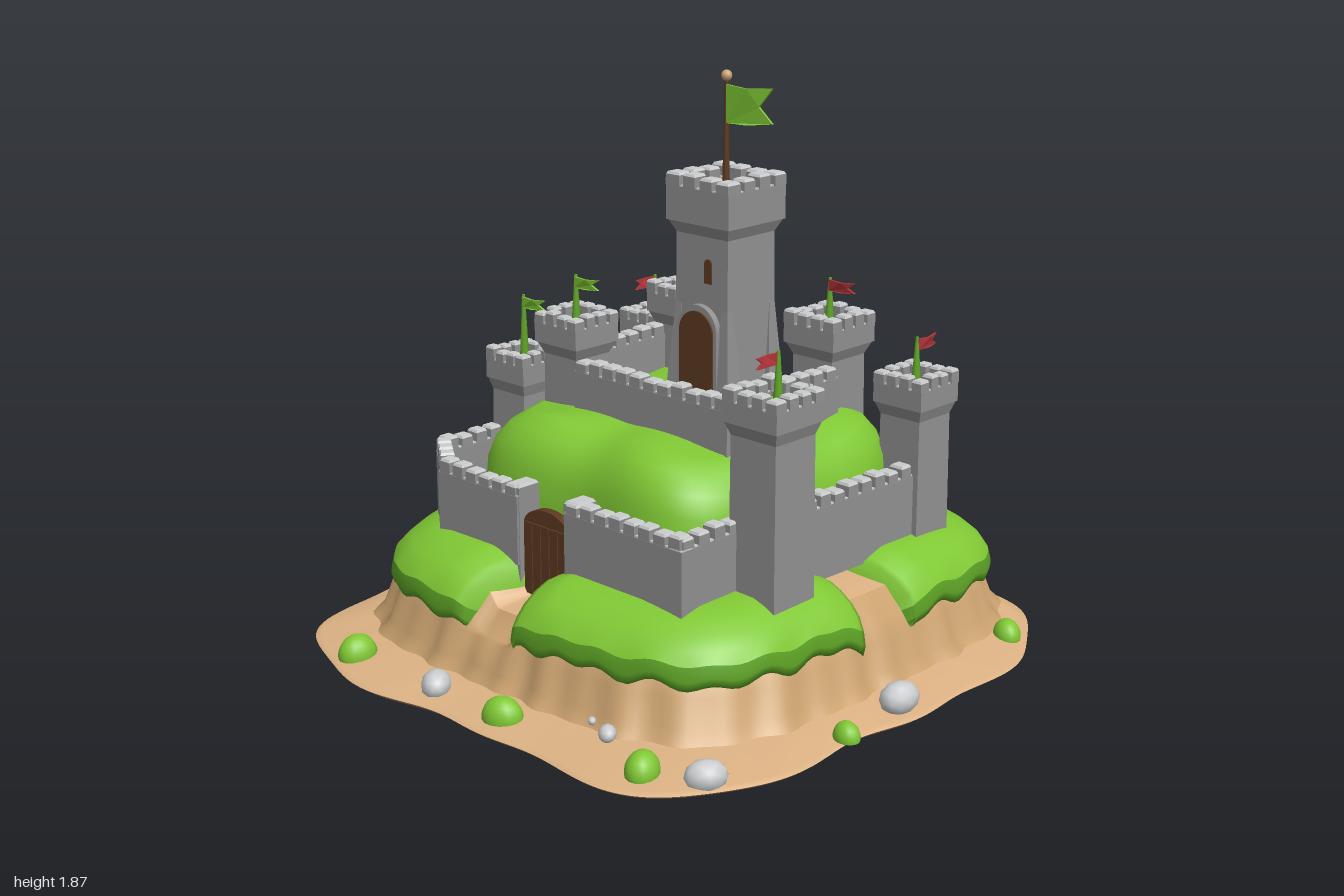
import * as THREE from 'three';
import { mergeGeometries } from 'three/addons/utils/BufferGeometryUtils.js';

const paint = (name, color) => Object.assign(new THREE.MeshStandardMaterial({ color }), { name });

export function createModel() {
  const root = new THREE.Group();
  const stone = paint('stone', 0x909090), paleStone = paint('pale stone', 0xcbcdce);
  const grass = paint('grass', 0x80c834), darkGrass = paint('dark grass', 0x5fa526);
  const sand = paint('sand', 0xdcb284), cliff = paint('cliff sand', 0xcca370), earth = paint('earth', 0xbb9162);
  const wood = paint('wood', 0x5c3a20), red = paint('red cloth', 0xb03438);

  let seed = 7;
  const rand = () => ((seed = (seed * 16807) % 2147483647) / 2147483647);
  const add = (name, geo, mat, parent = root) => {
    const m = new THREE.Mesh(geo, mat);
    m.name = name;
    parent.add(m);
    return m;
  };

  // ---------- terrain: closed loops of points joined into a skin ----------
  const N = 240;
  function loft(rings) {
    const pos = [], idx = [];
    rings.forEach((ring, i) => {
      for (let j = 0; j < N; j++) {
        pos.push(...ring((j / N) * Math.PI * 2));
        if (!i) continue;
        const k = (j + 1) % N, a = (i - 1) * N + j, b = (i - 1) * N + k, c = i * N + j, d = i * N + k;
        idx.push(a, c, b, b, c, d);
      }
    });
    const g = new THREE.BufferGeometry();
    g.setAttribute('position', new THREE.Float32BufferAttribute(pos, 3));
    g.setIndex(idx);
    g.computeVertexNormals();
    return g;
  }
  // rounded square loop, s = size factor, y = height
  const squircle = (t, cx, cz, hx, hz, s, y) => {
    const c = Math.cos(t), n = Math.sin(t), r = s / Math.pow(c ** 4 + n ** 4, 0.25);
    return [cx + hx * r * c, y, cz + hz * r * n];
  };
  // 1 at the given angle, fading to 0 between inner and outer distance
  const dip = (t, at, inner, outer) =>
    1 - THREE.MathUtils.smoothstep(Math.abs(Math.atan2(Math.sin(t - at), Math.cos(t - at))), inner, outer);
  const front = Math.PI / 2 + 0.095, back = -Math.PI / 2 - 0.08;
  const gap = (t, soft) => Math.max(...[front, -0.037, Math.PI + 0.05].map(at => dip(t, at, 0.075, soft)));

  const rim = (s, y) => t =>
    squircle(t, 0, 0, 1, 1, s * (0.977 - 0.012 * Math.cos(4 * t) + 0.015 * Math.cos(6 * t + 1) + 0.013 * Math.cos(13 * t)), y);
  const mound = (s, y, ridge = 0) => t => squircle(t, -0.035, -0.1, 0.81, 0.825,
    s + ridge * (Math.cos(37 * t) + Math.cos(23 * t + 1)), y - (y > 0.26 ? 0.065 * dip(t, front, 0.08, 0.16) : 0));
  add('baseUnderside', loft([rim(0, 0), rim(0.74, 0), rim(0.8, 0.012), rim(0.98, 0.055), rim(1, 0.07)]), earth);
  add('sandApron', loft([rim(1, 0.07), rim(0.985, 0.08), mound(1.06, 0.1, 0.008)]), sand);
  add('sandCliff', loft([mound(1.06, 0.1, 0.008), mound(1.02, 0.14, 0.008), mound(0.99, 0.22, 0.007),
    mound(0.95, 0.28, 0.003), mound(0.88, 0.35)]), cliff);
  add('sandPath', loft([mound(0.88, 0.35), mound(0.7, 0.375), mound(0, 0.375)]), sand);

  const turf = (s, y, wave = 0) => t => squircle(t, -0.035, -0.1, 0.81, 0.825,
    s * (1 - 0.28 * gap(t, 0.15)) * (1 - 0.06 * dip(t, back, 0, 0.3)) + 0.01 * Math.cos(9 * t),
    y - 0.1 * gap(t, 0.15) - 0.04 * gap(t, 0.3) - (y > 0.3 ? 0.03 * dip(t, back, 0, 0.25) : 0)
      + wave * (Math.cos(34 * t) + 0.6 * Math.cos(21 * t)));
  add('lowerGrassSkirt', loft([turf(0.92, 0.28), turf(0.995, 0.255, 0.012), turf(1.005, 0.285, 0.01), turf(0.995, 0.325, 0.006)]), darkGrass);
  add('lowerGrass', loft([turf(0.995, 0.325, 0.006), turf(0.97, 0.36), turf(0.93, 0.392), turf(0.87, 0.42),
    turf(0.81, 0.437), turf(0.72, 0.44), turf(0.5, 0.43), turf(0, 0.43)]), grass);

  const hill = (s, y) => t => squircle(t, -0.03, -0.09, 0.555, 0.54,
    s * (0.985 + 0.025 * Math.cos(5 * t + 1.57)), y + (s > 0.5 ? 0.014 * Math.sin(7 * t) : 0));
  add('upperGrass', loft([hill(1.03, 0.41), hill(1.01, 0.48), hill(1, 0.58), hill(0.99, 0.66), hill(0.95, 0.725),
    hill(0.88, 0.775), hill(0.77, 0.81), hill(0.45, 0.815), hill(0, 0.815)]), grass);

  const yard = new THREE.Shape();
  yard.moveTo(-0.38, 0.22);
  yard.quadraticCurveTo(-0.2, 0.12, 0.06, 0.18);
  yard.quadraticCurveTo(0.16, 0.28, 0.34, 0.22);
  yard.lineTo(0.34, -0.14);
  yard.lineTo(-0.22, -0.14);
  yard.quadraticCurveTo(-0.32, 0, -0.38, 0.22);
  add('courtyard', new THREE.ExtrudeGeometry(yard, { depth: 0.02, bevelEnabled: false })
    .rotateX(-Math.PI / 2).translate(0, 0.812, 0), sand);

  // ---------- masonry ----------
  // tapered block standing on y, top size scaled by k
  function block(w, h, d, x, y, z, k = 1, turn = 0) {
    const g = new THREE.BoxGeometry(w, h, d).translate(0, h / 2, 0), p = g.attributes.position;
    for (let i = 0; i < p.count; i++) if (p.getY(i) > h / 2) p.setXYZ(i, p.getX(i) * k, h, p.getZ(i) * k);
    g.computeVertexNormals();
    return g.rotateY(turn).translate(x, y, z);
  }
  // merlon with a worn pale top
  function merlon(parts, caps, w, d, x, y, z, turn) {
    const h = 0.026 + rand() * 0.012;
    parts.push(block(w, h, d, x, y, z, 0.97, turn));
    caps.push(block(w * 0.97, 0.008, d * 0.97, x, y + h, z, 0.82, turn));
  }
  function wall(name, x1, z1, x2, z2, y0, y1, thick = 0.05) {
    const dx = x2 - x1, dz = z2 - z1, len = Math.hypot(dx, dz), turn = -Math.atan2(dz, dx);
    const cx = (x1 + x2) / 2, cz = (z1 + z2) / 2, y = y1 - 0.037;
    const parts = [block(len, y - y0, thick, cx, y0, cz, 1, turn)], caps = [block(len, 0.004, thick * 0.85, cx, y, cz, 1, turn)];
    const n = Math.max(2, Math.round(len / 0.062));
    for (let i = 0; i < n; i++) {
      const f = (i + 0.5) / n;
      merlon(parts, caps, 0.046, thick * 0.96, x1 + dx * f, y, z1 + dz * f, turn);
    }
    add(name, mergeGeometries(parts), stone);
    add(name + 'Caps', mergeGeometries(caps), paleStone);
  }

  function flag(name, mat, x, y, z, len, h, turn) {
    const s = new THREE.Shape([[0, 0], [0.5, 0.02], [1, 0.1], [0.72, 0.5], [1, 1], [0.5, 0.94], [0, 0.98]]
      .map(([a, b]) => new THREE.Vector2(a * len, b * h)));
    const g = new THREE.ExtrudeGeometry(s, { depth: 0.008, bevelEnabled: false }), p = g.attributes.position;
    for (let i = 0; i < p.count; i++) p.setZ(i, p.getZ(i) + 0.08 * len * Math.sin((p.getX(i) / len) * 5));
    g.computeVertexNormals();
    add(name, g.rotateY(turn).translate(x, y, z), mat);
  }

  function tower(name, x, z, y0, top, head, body, headH = 0.1) {
    const g = new THREE.Group(), parts = [], caps = [], y = top - headH, t = head * 0.2, e = head / 2 - t / 2;
    g.name = name;
    root.add(g);
    parts.push(block(body * 1.04, y - y0, body * 1.04, x, y0, z, 0.96));
    parts.push(block(body, 0.05, body, x, y - 0.04, z, head / body));
    const ringH = headH - 0.037, n = 4;
    for (let q = 0; q < 4; q++) {
      const a = (q * Math.PI) / 2, c = Math.cos(a), s = Math.sin(a);
      parts.push(block(head, ringH, t, x + s * e, y, z + c * e, 1, a));
      caps.push(block(head * 0.97, 0.004, t * 0.85, x + s * e, y + ringH, z + c * e, 1, a));
      // each side owns one corner
      for (let i = 0; i < n - 1; i++) {
        const u = -e + (2 * e * i) / (n - 1);
        merlon(parts, caps, i ? t * 0.95 : t * 1.1, t, x + s * e + c * u, y + ringH, z + c * e - s * u, a);
      }
    }
    add(name + 'Stone', mergeGeometries(parts), stone, g);
    add(name + 'Caps', mergeGeometries(caps), paleStone, g);
    add(name + 'Floor', block(head - t * 1.5, 0.02, head - t * 1.5, x, y + headH * 0.3, z), grass, g);
  }
  const h = Math.PI / 2;
  // name, x, z, base, top, head, body, pole top, cloth, cloth turn
  [['innerFrontTower', -0.36, 0.09, 0.7, 1.1, 0.19, 0.145, 1.22, grass, 0],
    ['innerBackTowerRight', -0.35, -0.41, 0.6, 1.11, 0.185, 0.145, 1.21, grass, 0],
    ['innerBackTowerLeft', 0.28, -0.41, 0.6, 1.12, 0.205, 0.16, 1.23, red, 0],
    ['outerBackTowerRight', -0.61, -0.53, 0.36, 0.95, 0.175, 0.15, 1.07, red, -h],
    ['outerFrontTowerRight', -0.61, 0.09, 0.36, 0.93, 0.18, 0.15, 1.11, grass, 0],
    ['outerBackTowerLeft', 0.54, -0.53, 0.36, 0.95, 0.19, 0.155, 1.06, red, h],
    ['outerFrontTowerLeft', 0.59, 0.19, 0.36, 1.06, 0.21, 0.175, 1.17, red, -h],
  ].forEach(([name, x, z, y0, top, head, body, pole, cloth, turn]) => {
    tower(name, x, name === 'outerFrontTowerLeft' ? 0.21 : z, y0, top, head, body);
    const y = top - 0.07;
    add(name + 'Pole', new THREE.CylinderGeometry(0.005, 0.017, pole - y, 8).translate(x, (pole + y) / 2, z), darkGrass);
    flag(name + 'Flag', cloth, x, pole - 0.042, z, 0.1, 0.036, turn);
  });

  // outer wall
  wall('wallRightBack', -0.665, -0.45, -0.665, 0.02, 0.4, 0.67);
  add('wallWalk', block(0.06, 0.2, 0.42, -0.62, 0.4, -0.2), stone);
  wall('wallRightFront', -0.67, 0.16, -0.67, 0.41, 0.4, 0.67);
  wall('wallCorner', -0.675, 0.395, -0.52, 0.51, 0.4, 0.67);
  wall('wallFrontRight', -0.54, 0.51, -0.17, 0.51, 0.4, 0.66);
  wall('wallFrontLeft', 0.04, 0.51, 0.53, 0.51, 0.4, 0.66);
  wall('wallLeftFront', 0.505, 0.535, 0.505, 0.27, 0.4, 0.66);
  wall('wallLeftBack', 0.575, -0.45, 0.56, 0.12, 0.4, 0.67, 0.055);
  for (const x of [-0.195, 0.06]) {
    add('gatePost', block(0.055, 0.36, 0.085, x, 0.29, 0.485), stone);
    add('gatePostCap', block(0.053, 0.009, 0.083, x, 0.65, 0.485, 0.85), paleStone);
  }
  // inner wall
  wall('innerWallRight', -0.4, -0.34, -0.4, 0.02, 0.72, 0.97);
  wall('innerWallFront', -0.28, 0.155, 0.38, 0.155, 0.72, 0.97);
  wall('innerWallLeft', 0.355, 0.17, 0.355, -0.34, 0.72, 0.97);

  // ---------- arched doors ----------
  function arch(w, height, depth, rise = w / 2) {
    const s = new THREE.Shape();
    s.moveTo(-w / 2, 0);
    s.lineTo(w / 2, 0);
    s.lineTo(w / 2, height - rise);
    s.absellipse(0, height - rise, w / 2, rise, 0, Math.PI, false);
    s.lineTo(-w / 2, 0);
    return new THREE.ExtrudeGeometry(s, { depth, bevelEnabled: false, curveSegments: 12 });
  }
  add('gate', arch(0.2, 0.29, 0.03, 0.06).translate(-0.067, 0.305, 0.48), wood);
  for (let i = -2; i <= 2; i++) add('gatePlank', block(0.034, 0.235, 0.008, -0.067 + i * 0.038, 0.31, 0.512), wood);

  // ---------- keep ----------
  const kx = -0.05, kz = -0.28;
  tower('keep', kx, kz, 0.75, 1.54, 0.27, 0.222, 0.15);
  for (const sx of [-1, 1]) for (const sz of [-1, 1])
    add('buttress', block(0.08, 0.36, 0.08, kx + sx * 0.1, 0.77, kz + sz * 0.1, 0.3), stone);
  add('keepDoorFrame', arch(0.17, 0.32, 0.03).translate(kx, 0.81, kz + 0.105), stone);
  add('keepDoor', arch(0.145, 0.3, 0.007).translate(kx, 0.81, kz + 0.134), wood);
  add('keepWindow', arch(0.03, 0.08, 0.006).translate(kx + 0.03, 1.2, kz + 0.111), wood);
  add('flagpole', new THREE.CylinderGeometry(0.007, 0.013, 0.41, 8).translate(kx, 1.635, kz), wood);
  add('flagpoleFoot', new THREE.ConeGeometry(0.03, 0.12, 8).translate(kx, 1.49, kz), darkGrass);
  add('flagpoleKnob', new THREE.SphereGeometry(0.018, 12, 8).translate(kx, 1.85, kz), cliff);
  flag('keepFlag', grass, kx + 0.004, 1.7, kz, 0.175, 0.125, 0.06);

  // ---------- bushes and boulders ----------
  [[-0.56, 0.87, 0.062], [0.12, 0.87, 0.062], [0.67, 0.84, 0.06], [0.94, 0.27, 0.045], [0.83, -0.67, 0.052]].forEach(([x, z, r]) =>
    add('bush', new THREE.SphereGeometry(r, 14, 8, 0, Math.PI * 2, 0, Math.PI * 0.55)
      .scale(1.05, 1.05, 0.85).rotateY(x * 3).translate(x, 0.092, z), grass));
  // x, y, z, radius
  [[-0.18, 0.105, 0.87, 0.058], [0.83, 0.1, 0.75, 0.062], [0.46, 0.115, 0.77, 0.034], [0.92, 0.12, 0, 0.066], [0.49, 0.195, 0.86, 0.015]]
    .forEach(([x, y, z, r]) =>
      add('boulder', new THREE.IcosahedronGeometry(r, 1).scale(1.05, 0.8, 0.8).rotateY(x * 5).translate(x, y, z), paleStone));
  return root;
}
